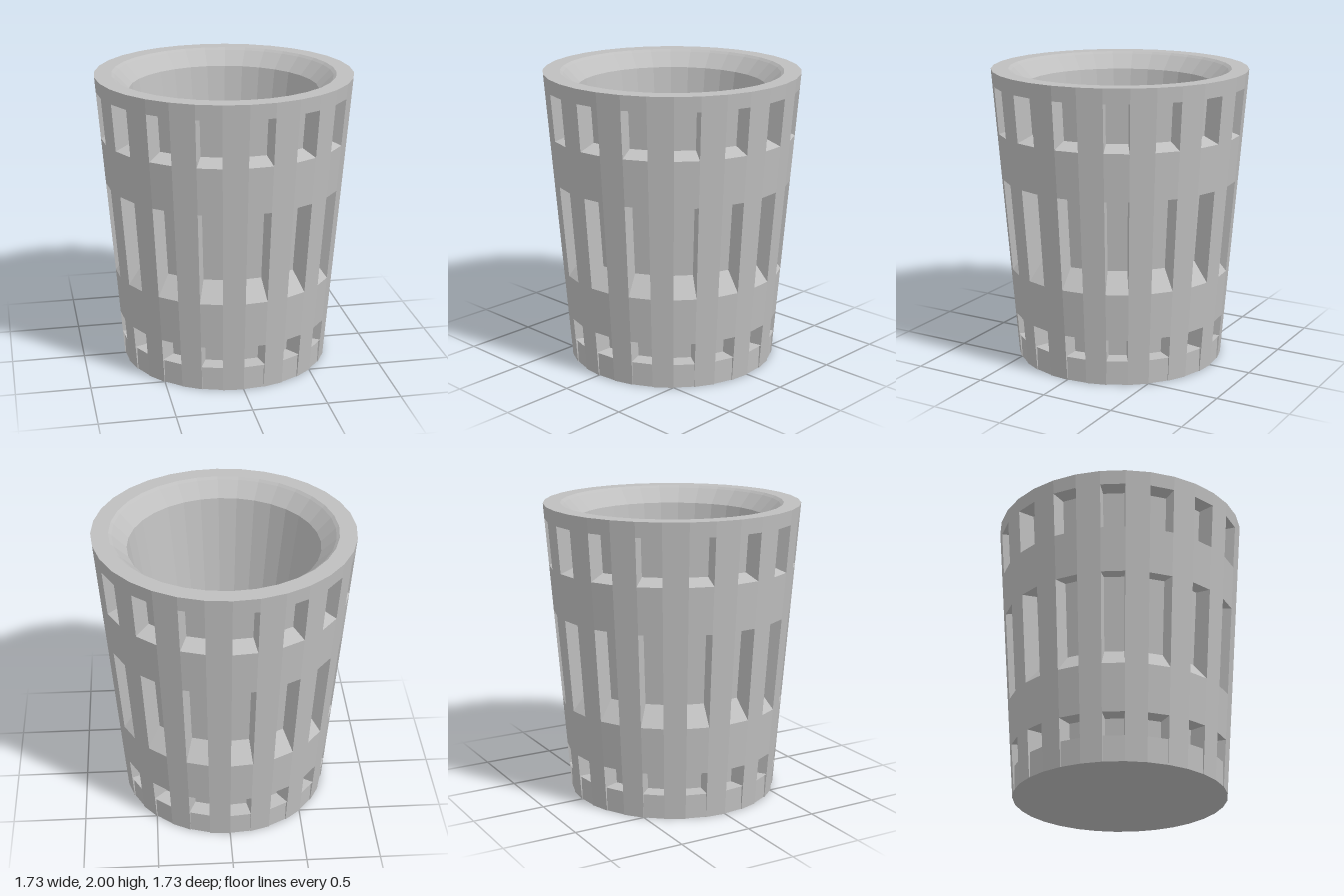
import * as THREE from 'three';

const SIDES = 32;
const STEP = (Math.PI * 2) / SIDES;
const outer = (y) => 0.71 + 0.0775 * y; // tapered outside radius
const inner = (y) => outer(y) - 0.118;  // back of the window recesses

const at = (r, y, k) => [r * Math.sin(k * STEP), y, r * Math.cos(k * STEP)];
const quad = (out, a, b, c, d) => out.push(...a, ...b, ...c, ...a, ...c, ...d);

// Sweep a profile of [radius, y] points across one facet
function facet(out, profile, k) {
  for (let i = 0; i < profile.length - 1; i++) {
    const [r0, y0] = profile[i], [r1, y1] = profile[i + 1];
    quad(out, at(r0, y0, k), at(r0, y0, k + 1), at(r1, y1, k + 1), at(r1, y1, k));
  }
}

// Both radial cheeks of a recess; corners run outer low, inner low, inner high, outer high
function cheeks(out, corners, k) {
  quad(out, ...corners.map(([r, y]) => at(r, y, k)));
  quad(out, ...corners.map(([r, y]) => at(r, y, k + 1)).reverse());
}

export function createModel() {
  const group = new THREE.Group();
  const grey = new THREE.MeshStandardMaterial({ color: 0xbfbfbf });
  grey.name = 'plain grey';

  const add = (name, fill) => {
    const points = [];
    fill(points);
    const geometry = new THREE.BufferGeometry();
    geometry.setAttribute('position', new THREE.Float32BufferAttribute(points, 3));
    geometry.computeVertexNormals(); // unshared corners give flat facets
    const mesh = new THREE.Mesh(geometry, grey);
    mesh.name = name;
    group.add(mesh);
  };
  const ring = (name, profile) => add(name, (p) => {
    for (let k = 0; k < SIDES; k++) facet(p, profile, k);
  });

  // Solid facets alternate with facets that carry windows
  add('outerWall', (p) => {
    for (let k = 0; k < SIDES; k++) {
      const spans = k % 2 ? [[0, 2]] : [[0.32, 0.64], [1.27, 1.585], [1.9, 2]];
      for (const [lo, hi] of spans) facet(p, [[outer(lo), lo], [outer(hi), hi]], k);
    }
  });

  // Recessed windows: mouth bottom, mouth top, back bottom, back top
  const rows = [
    ['lowerWindows', 0.17, 0.32, 0.17, 0.32],
    ['middleWindows', 0.64, 1.27, 0.77, 1.29],
    ['upperWindows', 1.585, 1.9, 1.625, 1.9],
  ];
  for (const [name, lo, hi, backLo, backHi] of rows) {
    const corners = [[outer(lo), lo], [inner(backLo), backLo], [inner(backHi), backHi], [outer(hi), hi]];
    add(name, (p) => {
      for (let k = 0; k < SIDES; k += 2) {
        facet(p, corners, k);
        cheeks(p, corners, k);
      }
    });
  }

  // Shallow sill panels under the lower windows
  add('baseSills', (p) => {
    for (let k = 0; k < SIDES; k += 2) {
      facet(p, [[0.705, 0], [0.71, 0.17], [inner(0.17), 0.17]], k);
      cheeks(p, [[outer(0), 0], [0.705, 0], [0.71, 0.17], [outer(0.17), 0.17]], k);
    }
  });

  // Flat rim, rounded lip, tapering bowl and underside
  ring('rim', [[outer(2), 2], [0.75, 2]]);
  ring('lip', [[0.75, 2], [0.73, 1.985], [0.635, 1.89]]);
  ring('bowl', [[0.635, 1.89], [0.37, 0.17]]);

  const disc = (name, radius, y, turn) => {
    const geometry = new THREE.CircleGeometry(radius, SIDES).rotateX(turn);
    const mesh = new THREE.Mesh(geometry, grey);
    mesh.name = name;
    mesh.position.y = y;
    group.add(mesh);
  };
  disc('bowlFloor', 0.37, 0.17, -Math.PI / 2);
  disc('underside', 0.71, 0, Math.PI / 2);

  return group;
}
